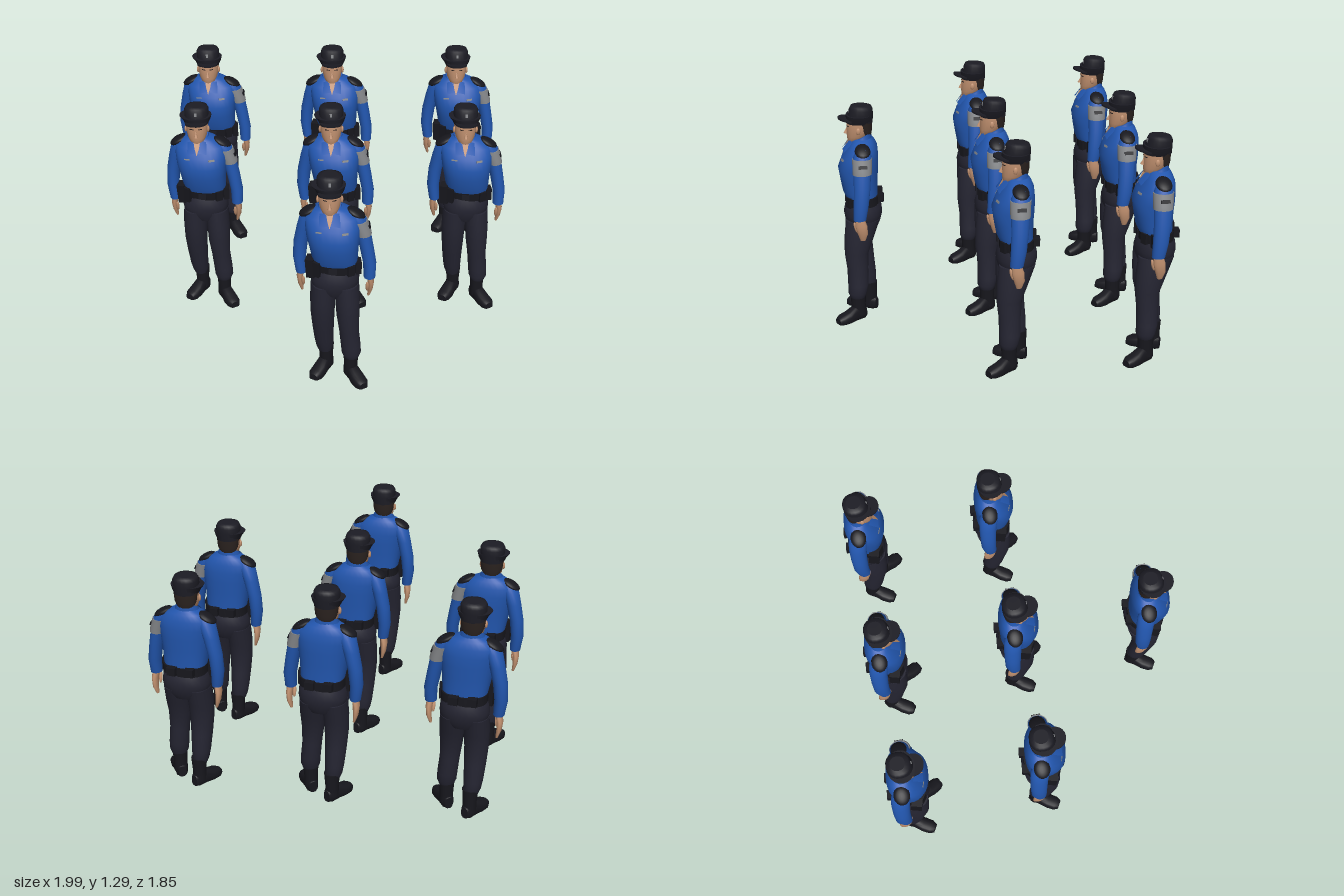
import * as THREE from 'three';

const mat = (name, color, side = THREE.FrontSide) => {
  const m = new THREE.MeshStandardMaterial({ color, side });
  m.name = name;
  return m;
};
const M = {
  blue: mat('shirt blue', 0x2256ae),
  navy: mat('trouser navy', 0x252532),
  black: mat('leather black', 0x17171d),
  hat: mat('cap black', 0x1c1c24),
  skin: mat('skin', 0xc0906f),
  hair: mat('hair', 0x2a221f),
  grey: mat('badge grey', 0x85878a),
  collarBlue: mat('collar blue', 0x2256ae, THREE.DoubleSide),
  skinPlate: mat('throat skin', 0xc0906f, THREE.DoubleSide),
};

// Closed loft through oval sections [y, cx, cz, rx, rz, tilt], listed bottom to top
function loft(sections, { square = 1, yaw = 0, seg = 20 } = {}) {
  const pos = [], idx = [];
  const ring = ([y, cx, cz, rx, rz, tilt = 0]) => {
    const start = pos.length / 3;
    for (let j = 0; j < seg; j++) {
      const t = (j / seg) * Math.PI * 2, s = Math.sin(t), c = Math.cos(t);
      const x = Math.sign(s) * Math.abs(s) ** square * rx;
      const z = Math.sign(c) * Math.abs(c) ** square * rz;
      pos.push(cx + x * Math.cos(yaw) + z * Math.sin(yaw), y + tilt * z,
        cz - x * Math.sin(yaw) + z * Math.cos(yaw));
    }
    return start;
  };
  const starts = sections.map(ring);
  for (let i = 0; i + 1 < starts.length; i++) {
    for (let j = 0; j < seg; j++) {
      const k = (j + 1) % seg, a = starts[i], b = starts[i + 1];
      idx.push(a + j, a + k, b + j, a + k, b + k, b + j);
    }
  }
  // End caps have their own rings so their rims stay crisp
  [[sections[0], false], [sections[sections.length - 1], true]].forEach(([s, top]) => {
    const r = ring(s), c = pos.length / 3;
    pos.push(s[1], s[0], s[2]);
    for (let j = 0; j < seg; j++) {
      const k = (j + 1) % seg;
      idx.push(c, r + (top ? j : k), r + (top ? k : j));
    }
  });
  const g = new THREE.BufferGeometry();
  g.setAttribute('position', new THREE.Float32BufferAttribute(pos, 3));
  g.setIndex(idx);
  g.computeVertexNormals();
  return g;
}

// Flat polygon through a fan of points
function plate(points) {
  const g = new THREE.BufferGeometry();
  g.setAttribute('position', new THREE.Float32BufferAttribute(points.flat(), 3));
  const idx = [];
  for (let i = 1; i + 1 < points.length; i++) idx.push(0, i, i + 1);
  g.setIndex(idx);
  g.computeVertexNormals();
  return g;
}

function createOfficer() {
  const officer = new THREE.Group();
  const add = (name, geo, material, p = [0, 0, 0], r = [0, 0, 0], s = [1, 1, 1]) => {
    const m = new THREE.Mesh(geo, material);
    m.name = name;
    m.position.set(...p);
    m.rotation.set(...r);
    m.scale.set(...s);
    officer.add(m);
    return m;
  };
  const box = (name, size, material, p, r) => add(name, new THREE.BoxGeometry(...size), material, p, r);
  const ball = new THREE.SphereGeometry(1, 16, 10);
  const twist = -0.12;

  // Shirt
  add('shirt', loft([
    [0.73, 0.004, -0.038, 0.117, 0.086], [0.79, 0, -0.025, 0.125, 0.1], [0.86, -0.005, -0.02, 0.133, 0.107],
    [0.93, -0.008, -0.018, 0.145, 0.115], [0.99, -0.01, -0.03, 0.15, 0.104], [1.04, -0.015, -0.045, 0.145, 0.085],
    [1.075, -0.02, -0.05, 0.1, 0.065], [1.095, -0.026, -0.05, 0.055, 0.05],
  ], { square: 0.85, yaw: twist, seg: 28 }), M.blue);
  add('collar', loft([[1.045, -0.026, -0.04, 0.082, 0.066, -0.2], [1.085, -0.026, -0.042, 0.066, 0.058, -0.4],
    [1.105, -0.026, -0.044, 0.06, 0.056, -0.5]]), M.blue);
  add('throat', plate([[-0.05, 1.082, 0.03], [-0.028, 1.012, 0.07], [-0.004, 1.082, 0.03]]), M.skinPlate);
  [-1, 1].forEach((s) => add('collarFlap', plate([[-0.027 + s * 0.02, 1.088, 0.026], [-0.027 + s * 0.055, 1.075, 0.012],
    [-0.027 + s * 0.056, 1.018, 0.064], [-0.027 + s * 0.008, 1.03, 0.068]]), M.collarBlue));
  box('chestBadge', [0.035, 0.012, 0.008], M.grey, [0.055, 0.985, 0.074], [-0.35, 0.25, 0.1]);
  box('nameStrip', [0.035, 0.008, 0.008], M.grey, [-0.085, 0.985, 0.058], [-0.35, -0.35, 0]);

  // Sleeves, cuffs and hands
  const arms = {
    left: [[0.665, 0.188, -0.005, 0.032, 0.036], [0.75, 0.188, -0.015, 0.036, 0.043], [0.85, 0.17, -0.025, 0.038, 0.047],
      [0.95, 0.148, -0.03, 0.042, 0.051], [1.02, 0.123, -0.035, 0.045, 0.053], [1.065, 0.1, -0.04, 0.032, 0.037]],
    right: [[0.655, -0.185, -0.075, 0.03, 0.036], [0.75, -0.194, -0.085, 0.036, 0.044], [0.85, -0.185, -0.085, 0.039, 0.047],
      [0.95, -0.163, -0.08, 0.042, 0.051], [1.02, -0.142, -0.07, 0.046, 0.054], [1.065, -0.12, -0.06, 0.032, 0.037]],
  };
  for (const [side, rings] of Object.entries(arms)) {
    const s = side === 'left' ? 1 : -1;
    const [wy, wx, wz] = rings[0];
    add(side + 'Sleeve', loft(rings), M.blue);
    add(side + 'Hand', loft([
      [wy - 0.13, wx - s * 0.004, wz - 0.014, 0.007, 0.014], [wy - 0.085, wx + s * 0.006, wz - 0.014, 0.014, 0.029],
      [wy - 0.035, wx + s * 0.008, wz - 0.006, 0.018, 0.034], [wy + 0.01, wx, wz, 0.02, 0.025]], { seg: 12 }), M.skin);
    add(side + 'Thumb', ball, M.skin, [wx - s * 0.012, wy - 0.05, wz + 0.024], [0.25, 0, 0], [0.01, 0.035, 0.01]);
    add(side + 'Epaulette', ball, M.black, [s > 0 ? 0.113 : -0.142, 1.052, s > 0 ? -0.038 : -0.062],
      [0, 0, -s * 0.5], [0.056, 0.021, 0.045]);
  }
  // Armband on the left sleeve
  add('armband', loft([[0.93, 0.153, -0.029, 0.045, 0.054], [0.955, 0.147, -0.03, 0.046, 0.055],
    [1.015, 0.126, -0.034, 0.049, 0.057]]), M.grey);
  box('armbandPatch', [0.008, 0.02, 0.05], M.black, [0.184, 0.98, -0.032], [0, 0, 0.35]);

  // Belt and gear
  add('belt', loft([[0.71, 0.004, -0.038, 0.125, 0.097], [0.76, 0.004, -0.036, 0.125, 0.098]],
    { square: 0.85, yaw: twist, seg: 28 }), M.black);
  box('buckle', [0.045, 0.035, 0.008], M.hat, [-0.01, 0.735, 0.061], [0, twist, 0]);
  box('holster', [0.045, 0.12, 0.06], M.black, [-0.13, 0.735, 0.0], [0.08, -0.25, 0.06]);
  box('holsterFront', [0.04, 0.09, 0.035], M.black, [-0.095, 0.74, 0.035], [0, -0.6, 0]);
  box('sidePouch', [0.035, 0.075, 0.055], M.black, [0.125, 0.73, -0.01], [0, 0.1, 0]);
  box('frontPouch', [0.04, 0.06, 0.025], M.black, [0.085, 0.735, 0.045], [0, 0.5, 0]);
  [-0.05, 0.05].forEach((x) => box('backPouch', [0.05, 0.045, 0.035], M.black, [x, 0.745, -0.137], [0, twist, 0]));

  // Trousers
  add('hips', loft([[0.56, 0.0, -0.032, 0.09, 0.08], [0.6, 0.0, -0.034, 0.128, 0.1], [0.65, 0.0, -0.036, 0.134, 0.111],
    [0.69, 0.002, -0.038, 0.128, 0.105], [0.73, 0.004, -0.038, 0.118, 0.09]], { square: 0.9, seg: 28 }), M.navy);
  add('leftLeg', loft([[0.14, 0.092, 0.018, 0.042, 0.044], [0.17, 0.092, 0.018, 0.054, 0.055], [0.22, 0.088, 0.012, 0.055, 0.06],
    [0.32, 0.078, 0.012, 0.055, 0.061], [0.42, 0.072, 0.014, 0.063, 0.07], [0.52, 0.069, -0.006, 0.068, 0.087],
    [0.62, 0.064, -0.03, 0.068, 0.1]]), M.navy);
  add('rightLeg', loft([[0.14, -0.056, -0.05, 0.038, 0.042], [0.17, -0.058, -0.05, 0.048, 0.052], [0.22, -0.062, -0.044, 0.053, 0.06],
    [0.32, -0.066, -0.03, 0.06, 0.066], [0.42, -0.068, -0.015, 0.066, 0.074], [0.52, -0.067, -0.022, 0.07, 0.088],
    [0.62, -0.064, -0.034, 0.068, 0.1]]), M.navy);

  // Boots: an upright shaft and a foot lofted along its length, flattened at the sole
  const foot = loft([[-0.045, 0, -0.032, 0.022, 0.034], [-0.025, 0, -0.034, 0.034, 0.046], [0.03, 0, -0.036, 0.036, 0.05],
    [0.075, 0, -0.022, 0.042, 0.04], [0.12, 0, -0.018, 0.04, 0.034], [0.145, 0, -0.016, 0.026, 0.022]], { square: 0.8 });
  foot.rotateX(Math.PI / 2);
  const fp = foot.attributes.position;
  for (let i = 0; i < fp.count; i++) fp.setY(i, Math.max(0, fp.getY(i)));
  foot.computeVertexNormals();
  [['left', 0.09, 0.016, 0.52], ['right', -0.05, -0.062, -0.52]].forEach(([side, x, z, turn]) => {
    add(side + 'Boot', foot, M.black, [x, 0, z], [0, turn, 0]);
    add(side + 'BootShaft', loft([[0.03, x, z, 0.038, 0.044], [0.09, x, z, 0.038, 0.042], [0.17, x, z, 0.044, 0.046]]), M.black);
  });

  // Head
  const hx = -0.027;
  add('neck', loft([[1.03, hx, -0.04, 0.045, 0.045], [1.13, hx, -0.035, 0.045, 0.045]]), M.skin);
  add('head', loft([[1.066, hx, 0.01, 0.022, 0.02], [1.08, hx, -0.005, 0.04, 0.042], [1.105, hx, -0.022, 0.054, 0.062],
    [1.14, hx, -0.03, 0.062, 0.07], [1.17, hx, -0.033, 0.064, 0.072], [1.21, hx, -0.035, 0.063, 0.07]]), M.skin);
  add('nose', new THREE.ConeGeometry(0.011, 0.04, 8), M.skin, [hx, 1.14, 0.042], [-0.25, 0, 0]);
  add('hair', loft([[1.11, hx, -0.07, 0.045, 0.03], [1.14, hx, -0.062, 0.06, 0.044], [1.2, hx, -0.055, 0.067, 0.053]]), M.hair);
  [-1, 1].forEach((s) => {
    add('ear', ball, M.skin, [hx + s * 0.064, 1.145, -0.022], [0, 0, 0], [0.008, 0.02, 0.013]);
    box('eyebrow', [0.022, 0.004, 0.006], M.hair, [hx + s * 0.024, 1.168, 0.033], [0, s * 0.35, 0]);
  });

  // Cap: crown, upturned band and visor
  add('capCrown', loft([[1.185, hx, -0.037, 0.068, 0.074], [1.23, hx, -0.041, 0.069, 0.072], [1.262, hx, -0.046, 0.07, 0.067, 0.05],
    [1.278, hx, -0.047, 0.062, 0.06, 0.05], [1.284, hx, -0.048, 0.04, 0.04, 0.03]], { square: 0.9 }), M.hat);
  add('capBand', loft([[1.182, hx, -0.035, 0.068, 0.073], [1.205, hx, -0.035, 0.079, 0.076],
    [1.23, hx - 0.006, -0.035, 0.092, 0.077]]), M.hat);
  add('capVisor', loft([[1.198, hx, 0.028, 0.062, 0.06, 0.2], [1.208, hx, 0.028, 0.062, 0.06, 0.2]]), M.hat);
  box('capBadge', [0.014, 0.02, 0.008], M.grey, [hx, 1.255, 0.022], [-0.15, 0, 0]);
  return officer;
}

export function createModel() {
  const model = new THREE.Group();
  model.name = 'officerFormation';
  const officer = createOfficer();
  // Two rows of three with one leading in front
  const step = 0.77;
  const spots = [[0, 1]];
  for (const z of [-1, 0]) for (const x of [-1, 0, 1]) spots.push([x, z]);
  for (const [x, z] of spots) {
    const copy = officer.clone();
    copy.name = 'officer';
    copy.position.set(x * step, 0, z * step);
    model.add(copy);
  }
  return model;
}
